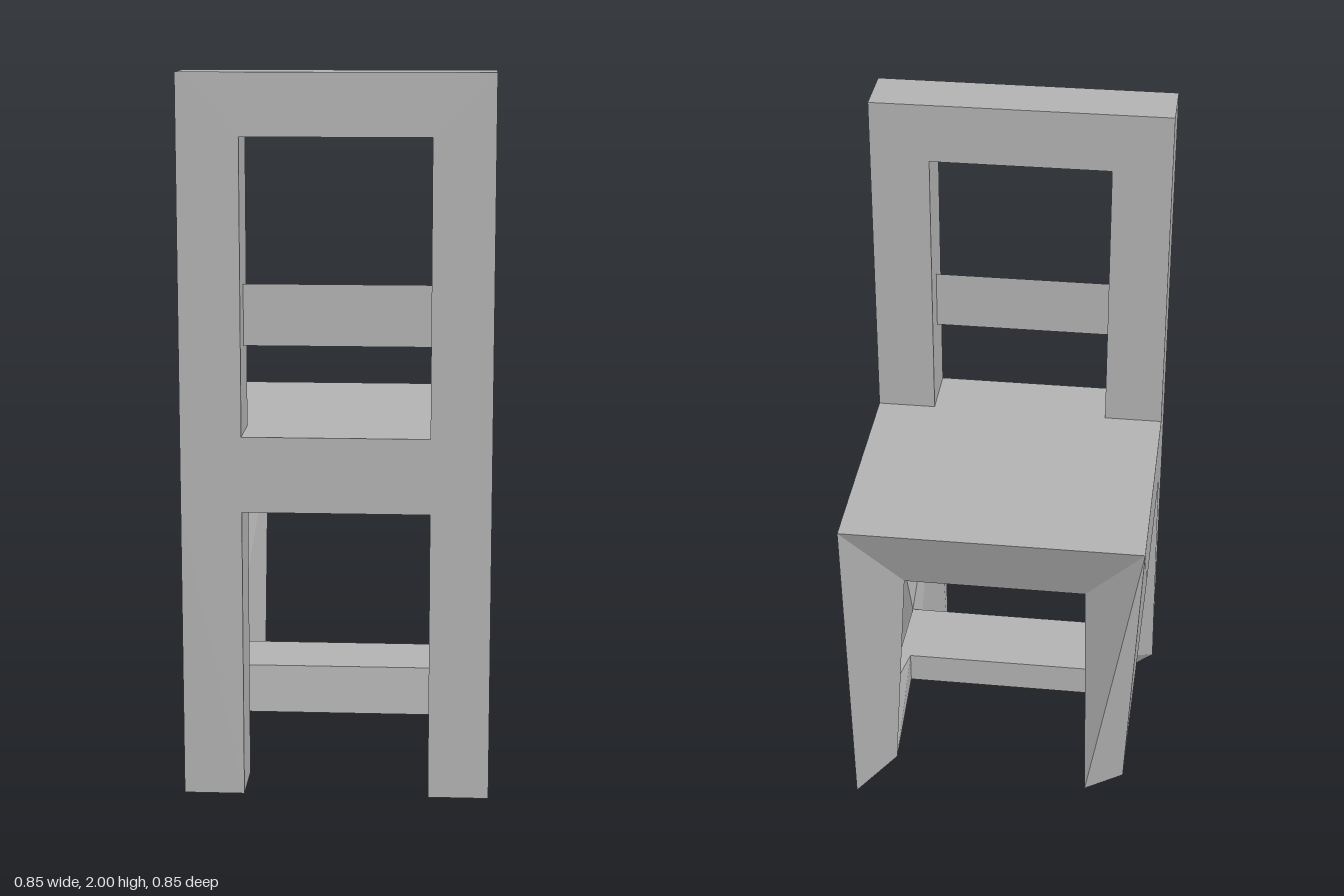
import * as THREE from 'three';
import { ConvexGeometry } from 'three/addons/geometries/ConvexGeometry.js';

const OUT = 0.425, IN = 0.257;   // outer and inner faces of the posts
const APRON = 0.81, SEAT = 1.02; // underside and top of the seat

export function createModel() {
  const chair = new THREE.Group();
  chair.name = 'chair';
  const grey = new THREE.MeshStandardMaterial({ color: 0xb2b2b2 });
  grey.name = 'plain grey';
  const greyThin = grey.clone();
  greyThin.side = THREE.DoubleSide;

  const add = (name, geometry, material = grey) => {
    const mesh = new THREE.Mesh(geometry, material);
    mesh.name = name;
    chair.add(mesh);
    return mesh;
  };
  // Faceted solid spanned by a few corner points
  const solid = (name, points) =>
    add(name, new ConvexGeometry(points.map((p) => new THREE.Vector3(...p))));

  // Backrest frame with one tall opening
  const rect = (Type, x, y0, y1) => new Type([
    new THREE.Vector2(-x, y0), new THREE.Vector2(x, y0),
    new THREE.Vector2(x, y1), new THREE.Vector2(-x, y1),
  ]);
  const frame = rect(THREE.Shape, OUT, APRON, 2);
  frame.holes.push(rect(THREE.Path, IN, SEAT, 1.83));
  add('backrestFrame', new THREE.ExtrudeGeometry(frame, { depth: OUT - IN, bevelEnabled: false }))
    .position.z = IN;

  // Single thin slat across the opening
  add('backrestSlat', new THREE.PlaneGeometry(2 * IN, 0.17), greyThin).position.set(0, 1.343, 0.34);

  // Seat block, its free edge slanting inwards
  const seat = [];
  for (const s of [-1, 1]) {
    seat.push([s * OUT, SEAT, IN], [s * OUT, APRON, IN], [s * OUT, SEAT, -OUT],
      [s * IN, APRON, -0.34], [s * OUT, APRON, -IN]);
  }
  solid('seat', seat);

  // Corners of the U-shaped stretcher on each side
  const corners = (s) => ({
    top: [s * 0.33, 0.3, 0.187],
    bottom: [s > 0 ? 0.315 : -0.345, 0.165, 0.203],
    innerTop: [s * 0.3, 0.3, -0.045],
    innerBottom: [s * 0.3, 0.207, -0.045],
    endTop: [s * 0.34, 0.3, -IN],
    endBottom: [s > 0 ? 0.305 : -0.38, 0.11, -0.297],
  });

  for (const s of [-1, 1]) {
    const side = s > 0 ? 'left' : 'right';
    const c = corners(s);

    // Leg under the backrest, ending in a three-cornered foot
    solid(side + 'BackrestLeg', [
      [s * IN, APRON, IN], [s * OUT, APRON, IN], [s * IN, APRON, OUT], [s * OUT, APRON, OUT],
      [s * IN, 0, OUT], [s * OUT, 0, OUT], [s > 0 ? OUT : -IN, 0, IN],
      c.top, c.bottom,
    ]);

    // Tapering leg under the free edge of the seat
    solid(side + 'SeatLeg', [
      [s * OUT, SEAT, -OUT], [s * IN, APRON, -0.34], [s * OUT, APRON, -IN],
      s > 0 ? [OUT, 0, -0.342] : [-0.27, 0.085, -0.342],
      c.endTop, c.endBottom,
    ]);

    // Side stretcher joining the two legs
    solid(side + 'Stretcher', Object.values(c));
  }

  // Broad cross stretcher between the sides
  const cross = [];
  for (const s of [-1, 1]) {
    const c = corners(s);
    cross.push(c.top, c.bottom, c.innerTop, c.innerBottom);
  }
  solid('crossStretcher', cross);

  return chair;
}
